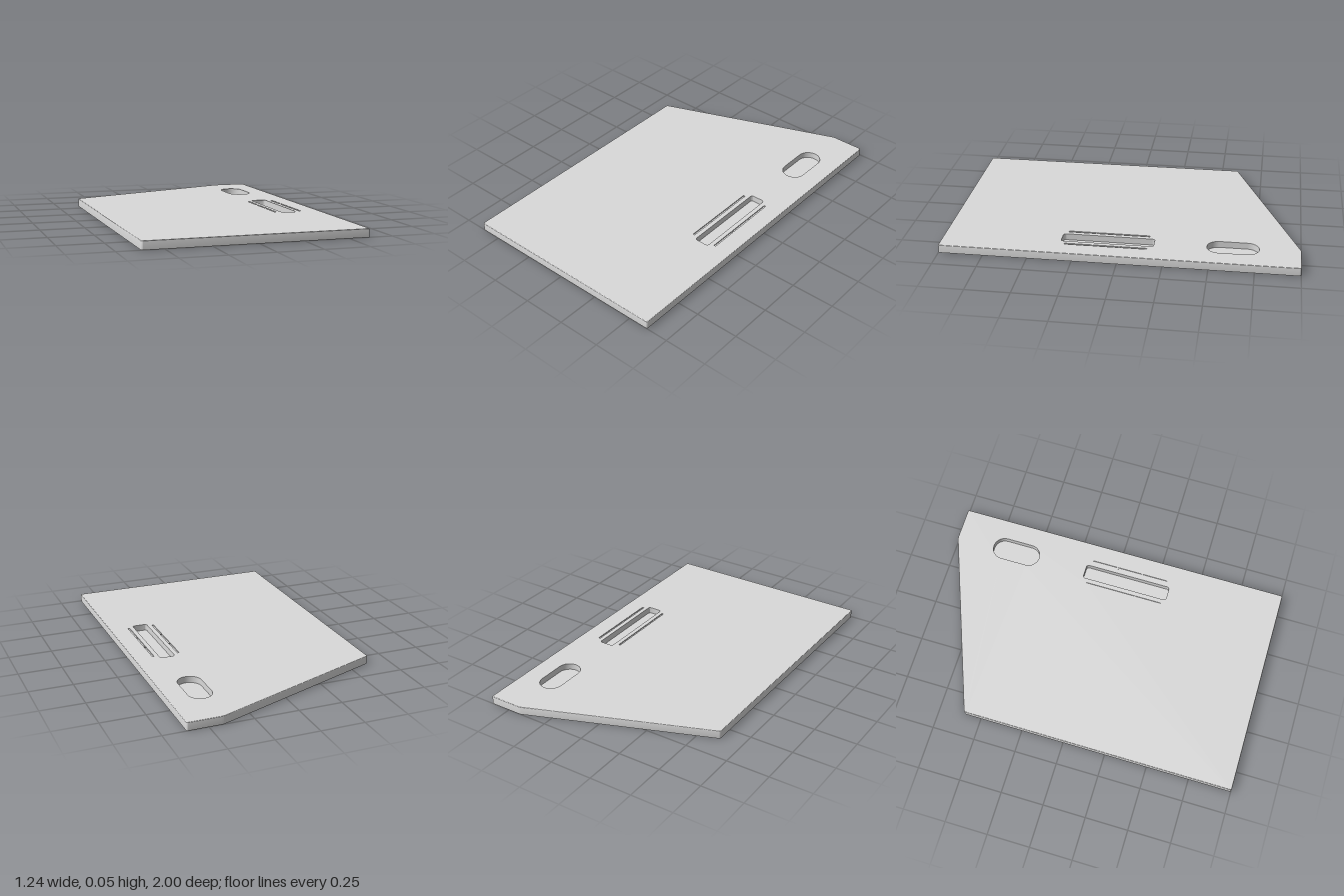
import * as THREE from 'three';
import { toCreasedNormals } from 'three/addons/utils/BufferGeometryUtils.js';

const TOP = 0.047, CEILING = 0.038, FLOOR = 0.01, FILLET = 0.003;

// Plan corners, counter-clockwise from above; the second value is -z
const CORNERS = [[-0.62, -1], [0.62, -1], [0.62, 1], [0.42, 1], [-0.62, 0.6]]
  .map(([x, y]) => new THREE.Vector2(x, y));

// Plan outline with slightly rounded corners
const OUTLINE = CORNERS.flatMap((p, i) => {
  const n = CORNERS.length, r = 0.01;
  const toward = (q) => q.clone().sub(p).setLength(r).add(p);
  const start = toward(CORNERS[(i + n - 1) % n]), end = toward(CORNERS[(i + 1) % n]);
  return new THREE.QuadraticBezierCurve(start, p, end).getPoints(4);
});

// Moves every edge of the convex outline inwards by d
function inset(d) {
  const n = OUTLINE.length;
  return OUTLINE.map((p, i) => {
    const a = p.clone().sub(OUTLINE[(i + n - 1) % n]).normalize();
    const b = OUTLINE[(i + 1) % n].clone().sub(p).normalize();
    const k = d / (1 + a.dot(b));
    return new THREE.Vector2(p.x - (a.y + b.y) * k, p.y + (a.x + b.x) * k);
  });
}

// Skins a stack of matching loops, each given as [points, height]
function loft(loops) {
  const pos = [];
  for (let l = 0; l < loops.length - 1; l++) {
    const [lo, y0] = loops[l], [hi, y1] = loops[l + 1];
    for (let i = 0; i < lo.length; i++) {
      const j = (i + 1) % lo.length;
      const a = [lo[i].x, y0, -lo[i].y], b = [lo[j].x, y0, -lo[j].y];
      const c = [hi[j].x, y1, -hi[j].y], d = [hi[i].x, y1, -hi[i].y];
      pos.push(...a, ...b, ...c, ...a, ...c, ...d);
    }
  }
  const g = new THREE.BufferGeometry();
  g.setAttribute('position', new THREE.Float32BufferAttribute(pos, 3));
  return toCreasedNormals(g, 0.7);
}

// Rounded rectangle in plan, from x and z limits
function roundedLoop(x0, x1, z0, z1, r) {
  const pts = [];
  const corners = [[x1 - r, -z0 - r], [x0 + r, -z0 - r], [x0 + r, -z1 + r], [x1 - r, -z1 + r]];
  corners.forEach(([cx, cy], q) => {
    for (let i = 0; i <= 10; i++) {
      const t = (q + i / 10) * Math.PI / 2;
      pts.push(new THREE.Vector2(cx + r * Math.cos(t), cy + r * Math.sin(t)));
    }
  });
  return pts;
}

// Flat plate between two heights, with optional holes
function slab(points, y0, y1, holes = []) {
  const shape = new THREE.Shape(points);
  shape.holes = holes.map((h) => new THREE.Path(h));
  const g = new THREE.ExtrudeGeometry(shape, { depth: y1 - y0, bevelEnabled: false });
  return g.rotateX(-Math.PI / 2).translate(0, y0, 0);
}

export function createModel() {
  const group = new THREE.Group();
  const grey = new THREE.MeshStandardMaterial({ color: 0xd9d9d9, side: THREE.DoubleSide });
  grey.name = 'light grey';
  const add = (name, geometry) => {
    const mesh = new THREE.Mesh(geometry, grey);
    mesh.name = name;
    group.add(mesh);
  };

  // Thin rim around the hollow underside, with a softened upper edge
  const profile = [[0.004, CEILING], [0.004, 0], [0, 0], [0, TOP - FILLET]];
  for (let i = 1; i <= 3; i++) {
    const t = i / 3 * Math.PI / 2;
    profile.push([FILLET * (1 - Math.cos(t)), TOP - FILLET * (1 - Math.sin(t))]);
  }
  add('rim', loft(profile.map(([d, y]) => [inset(d), y])));

  // Deep pockets: oval grip and long slot
  const pockets = {
    ovalPocket: roundedLoop(0.368, 0.503, -0.77, -0.48, 0.067),
    slotPocket: roundedLoop(0.39, 0.477, -0.187, 0.333, 0.015),
  };
  const pocketLoops = Object.values(pockets);

  // Shallow grooves on both sides of the slot
  const grooves = [[0.353, 0.364], [0.503, 0.514]]
    .map(([x0, x1]) => roundedLoop(x0, x1, -0.155, 0.308, 0.002));
  const grooveFloor = CEILING + 0.003;

  // Top panel: upper layer with all openings, lower layer closing the grooves
  add('topPanel', slab(inset(FILLET), grooveFloor, TOP, [...pocketLoops, ...grooves]));
  add('ceiling', slab(inset(FILLET), CEILING, grooveFloor, pocketLoops));

  // Pocket walls down to the backing plate, and their raised backs
  for (const [name, loop] of Object.entries(pockets)) {
    add(name, loft([[loop, TOP], [loop, FLOOR]]));
    add(name + 'Back', slab(loop, 0.003, 0.006));
  }
  add('backingPlate', slab(roundedLoop(0.285, 0.555, -0.83, 0.425, 0.002), 0.006, FLOOR));

  // Small bridges across the grooves
  for (const x of [0.3585, 0.5085]) {
    for (const z of [0, 0.15]) {
      add('grooveBridge', new THREE.BoxGeometry(0.011, TOP - grooveFloor, 0.006)
        .translate(x, (TOP + grooveFloor) / 2, z));
    }
  }
  return group;
}
